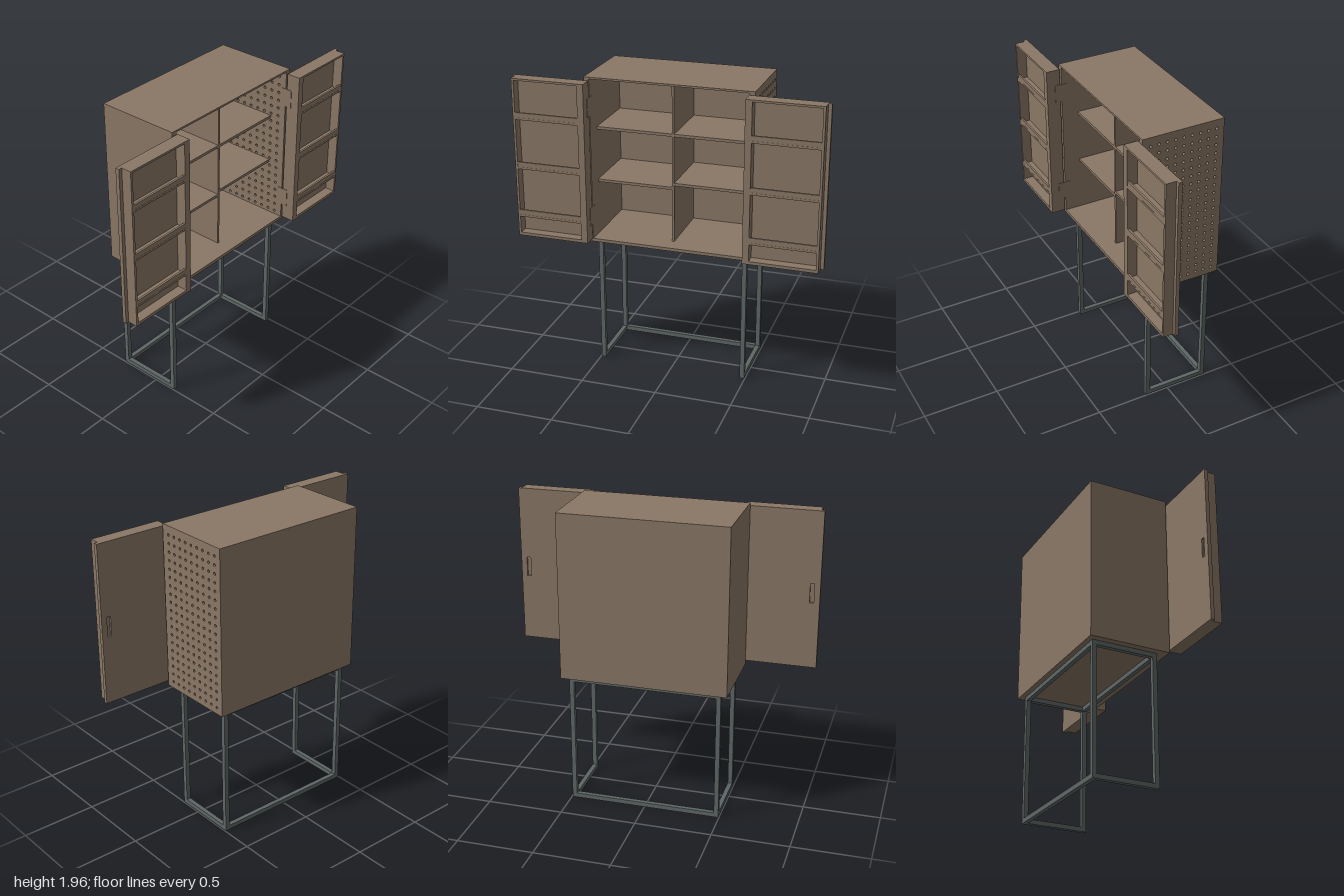
import * as THREE from 'three';

const wood = new THREE.MeshStandardMaterial({ color: 0x8a7765 });
wood.name = 'brown wood';
const steel = new THREE.MeshStandardMaterial({ color: 0x5f6766 });
steel.name = 'grey steel';

// Box between two corners, in any order
function box(parent, name, mat, x0, x1, y0, y1, z0, z1) {
  const g = new THREE.BoxGeometry(Math.abs(x1 - x0), Math.abs(y1 - y0), Math.abs(z1 - z0));
  const m = new THREE.Mesh(g, mat);
  m.position.set((x0 + x1) / 2, (y0 + y1) / 2, (z0 + z1) / 2);
  m.name = name;
  parent.add(m);
  return m;
}

function rectangle(PathType, x0, x1, y0, y1) {
  const p = new PathType();
  p.moveTo(x0, y0).lineTo(x1, y0).lineTo(x1, y1).lineTo(x0, y1).closePath();
  return p;
}

function group(parent, name) {
  const g = new THREE.Group();
  g.name = name;
  parent.add(g);
  return g;
}

function buildCabinet(root) {
  const c = group(root, 'cabinet');
  const y0 = 0.87, y1 = 1.955, back = -0.32, front = 0.22;
  box(c, 'top', wood, -0.505, 0.505, 1.943, y1, back, front);
  box(c, 'floor', wood, -0.505, 0.505, y0, 0.89, back, front);
  box(c, 'backPanel', wood, -0.505, 0.505, 0.89, 1.943, back, back + 0.015);
  box(c, 'rightSide', wood, -0.54, -0.505, y0, y1, back, front);

  // Left side, perforated with a grid of small round holes
  const side = rectangle(THREE.Shape, back, front, y0, y1);
  for (let i = 0; i < 9; i++) {
    for (let j = 0; j < 19; j++) {
      const hole = new THREE.Path();
      hole.absarc(-0.27 + i * 0.0545, 0.914 + j * 0.0546, 0.009, 0, Math.PI * 2, true);
      side.holes.push(hole);
    }
  }
  const g = new THREE.ExtrudeGeometry(side, { depth: 0.035, bevelEnabled: false, curveSegments: 10 });
  g.rotateY(-Math.PI / 2).translate(0.54, 0, 0);
  const perforated = new THREE.Mesh(g, wood);
  perforated.name = 'perforatedLeftSide';
  c.add(perforated);

  // Interior, set back to leave room for the closed doors
  const inner = 0.11;
  box(c, 'divider', wood, -0.01, 0.005, 0.89, 1.943, back + 0.015, inner);
  for (const y of [1.24, 1.59]) box(c, 'rightShelf', wood, -0.505, -0.01, y, y + 0.018, back + 0.015, inner);
  for (const y of [1.268, 1.59]) box(c, 'leftShelf', wood, 0.005, 0.505, y, y + 0.018, back + 0.015, inner);
}

function buildDoor(root, s) {
  const d = group(root, s > 0 ? 'leftDoor' : 'rightDoor');
  const y0 = 0.895, y1 = 1.935, zBack = 0.23, zMid = 0.255, zFront = 0.32;

  // Outer skin with a finger slot, and the solid layer behind it
  const xs = [0.505 * s, 1.0 * s].sort((a, b) => a - b);
  const skin = rectangle(THREE.Shape, xs[0], xs[1], y0, y1);
  const slot = [0.935 * s, 0.962 * s].sort((a, b) => a - b);
  skin.holes.push(rectangle(THREE.Path, slot[0], slot[1], 1.335, 1.465));
  const g = new THREE.ExtrudeGeometry(skin, { depth: 0.013, bevelEnabled: false });
  g.translate(0, 0, zBack);
  const skinMesh = new THREE.Mesh(g, wood);
  skinMesh.name = 'doorSkin';
  d.add(skinMesh);
  box(d, 'doorPanel', wood, 0.505 * s, 1.0 * s, y0, y1, zBack + 0.013, zMid);

  // Tray frame
  box(d, 'hingeStile', wood, 0.505 * s, 0.547 * s, y0, y1, zMid, zFront);
  box(d, 'outerStile', wood, 0.963 * s, 0.978 * s, y0, y1, zMid, zFront);
  box(d, 'trayTop', wood, 0.547 * s, 0.963 * s, 1.922, y1, zMid, zFront);
  box(d, 'trayFloor', wood, 0.547 * s, 0.963 * s, y0, 0.915, zMid, zFront);

  // Door shelves, each with a retaining rail along its front
  for (const y of [1.025, 1.348, 1.672]) {
    box(d, 'doorShelf', wood, 0.547 * s, 0.963 * s, y, y + 0.014, zMid, zFront);
    box(d, 'shelfRail', wood, 0.547 * s, 0.963 * s, y + 0.014, y + 0.046, zFront - 0.014, zFront - 0.001);
  }

  // Hinge leaves bridging the door edge and the cabinet side
  for (const y of [1.05, 1.77]) {
    box(d, 'hinge', wood, 0.502 * s, 0.506 * s, y - 0.06, y + 0.06, 0.185, 0.265);
  }
}

function buildStand(root) {
  const f = group(root, 'stand');
  const t = 0.03, X = 0.495, zB = -0.285, zF = 0.155, h = 0.87;
  for (const s of [-1, 1]) {
    const a = X * s, b = (X - t) * s;
    box(f, 'frontLeg', steel, a, b, 0, h, zF - t, zF);
    box(f, 'backLeg', steel, a, b, 0, h, zB, zB + t);
    box(f, 'bottomSideBar', steel, a, b, 0, t, zB + t, zF - t);
    box(f, 'topSideBar', steel, a, b, h - t, h, zB + t, zF - t);
  }
  const w = X - t;
  box(f, 'bottomBackBar', steel, -w, w, 0, t, zB, zB + t);
  box(f, 'topBackBar', steel, -w, w, h - t, h, zB, zB + t);
  box(f, 'topFrontBar', steel, -w, w, h - t, h, zF - t, zF);
}

export function createModel() {
  const root = new THREE.Group();
  root.name = 'cabinetOnStand';
  buildCabinet(root);
  for (const s of [-1, 1]) buildDoor(root, s);
  buildStand(root);
  return root;
}
